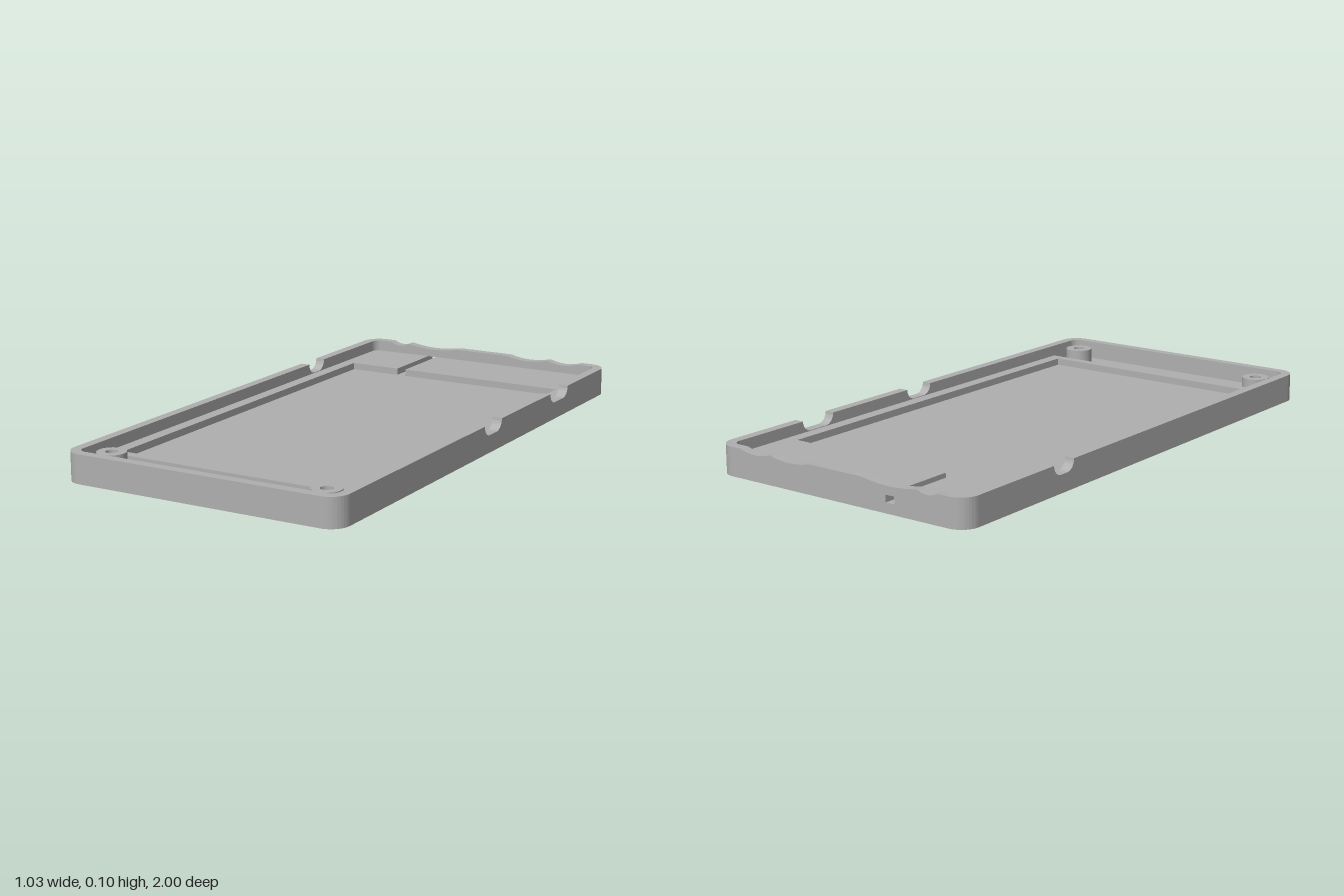
import * as THREE from 'three';
import { toCreasedNormals } from 'three/addons/utils/BufferGeometryUtils.js';

const W = 0.515, L = 1, H = 0.1;      // half width, half length, height
const T = 0.035, R = 0.065;           // wall thickness, corner radius
const FLOOR = 0.035, LEDGE = 0.06;    // floor and ledge heights
const POST_X = 0.405, POST_Z = 0.885;

const extrude = (shape, depth) => toCreasedNormals(
  new THREE.ExtrudeGeometry(shape, { depth, bevelEnabled: false, curveSegments: 16 }), 0.6);

// Plan shapes use (x, -z) and rise from y0 to y1
const rise = (shape, y0, y1) => extrude(shape, y1 - y0).rotateX(-Math.PI / 2).translate(0, y0, 0);

function roundedRect(w, l, r) {
  const s = new THREE.Shape();
  s.absarc(w - r, l - r, r, 0, Math.PI / 2);
  s.absarc(r - w, l - r, r, Math.PI / 2, Math.PI);
  s.absarc(r - w, r - l, r, Math.PI, Math.PI * 1.5);
  s.absarc(w - r, r - l, r, Math.PI * 1.5, Math.PI * 2);
  s.closePath();
  return s;
}

function circle(x, y, r, Type = THREE.Path) {
  const p = new Type();
  p.absarc(x, y, r, 0, Math.PI * 2);
  return p;
}

// Wall elevation: cuts run along the top edge from high u to low u
function elevation(half, cuts = []) {
  const s = new THREE.Shape();
  s.moveTo(-half, 0);
  s.lineTo(half, 0);
  s.lineTo(half, H);
  for (const [u1, u0, kind] of cuts) {
    s.lineTo(u1, H);
    if (kind === 'dip') {
      s.quadraticCurveTo((u0 + u1) / 2, H - 0.022, u0, H);
    } else {
      const r = 0.038;
      s.absarc(u1 - r, H, r, 0, -Math.PI / 2, true);
      s.absarc(u0 + r, H, r, -Math.PI / 2, -Math.PI, true);
    }
  }
  s.lineTo(-half, H);
  s.closePath();
  return s;
}

export function createModel() {
  const group = new THREE.Group();
  const grey = new THREE.MeshStandardMaterial({ color: 0xb0b0b0 });
  grey.name = 'grey plastic';
  const add = (name, geometry) => {
    const mesh = new THREE.Mesh(geometry, grey);
    mesh.name = name;
    group.add(mesh);
  };

  // Floor with two screw holes
  const floor = roundedRect(W - T, L - T, R - T);
  for (const s of [-1, 1]) floor.holes.push(circle(s * POST_X, -POST_Z, 0.021));
  add('floor', rise(floor, 0, FLOOR));

  // Ledge around the pocket, open at the back for the cable groove
  const ix = W - T, iz = L - T, px = 0.435, g0 = -0.24, g1 = -0.205;
  const ledge = new THREE.Shape([
    [g1, iz], [g1, 0.71], [px, 0.71], [px, -0.785], [-px, -0.785], [-px, 0.71],
    [g0, 0.71], [g0, iz], [-ix + 0.009, iz - 0.009], [-ix, iz - 0.03],
    [-ix, -0.82], [ix, -0.82], [ix, iz - 0.03], [ix - 0.009, iz - 0.009], [ix - 0.03, iz],
  ].map(([x, y]) => new THREE.Vector2(x, y)));
  add('ledge', rise(ledge, FLOOR, LEDGE));

  // Side walls with finger and port notches
  const sideWall = (cuts, x) => extrude(elevation(L - R, cuts), T).rotateY(-Math.PI / 2).translate(x, 0, 0);
  add('leftWall', sideWall([[0.043, -0.087], [-0.483, -0.634]], W));
  add('rightWall', sideWall([[-0.447, -0.555]], T - W));

  // End walls; the back one has shallow dips and a cable hole
  add('frontWall', extrude(elevation(W - R), T).translate(0, 0, L - T));
  const back = elevation(W - R, [
    [0.41, 0.28, 'dip'], [0.28, 0.11, 'dip'], [-0.11, -0.33, 'dip'], [-0.33, -0.41, 'dip'],
  ]);
  back.holes.push(new THREE.Path([[g0, FLOOR], [g0, LEDGE], [g1, LEDGE], [g1, FLOOR]]
    .map(([x, y]) => new THREE.Vector2(x, y))));
  add('backWall', extrude(back, T).translate(0, 0, -L));

  // Rounded corners of the wall
  [[1, 1], [-1, 1], [-1, -1], [1, -1]].forEach(([sx, sy], i) => {
    const a = i * Math.PI / 2, b = a + Math.PI / 2;
    const cx = sx * (W - R), cy = sy * (L - R);
    const corner = new THREE.Shape();
    corner.absarc(cx, cy, R, a, b);
    corner.absarc(cx, cy, R - T, b, a, true);
    corner.closePath();
    add('wallCorner', rise(corner, 0, H));
  });

  // Hollow screw posts
  for (const s of [-1, 1]) {
    const post = circle(s * POST_X, -POST_Z, 0.05, THREE.Shape);
    post.holes.push(circle(s * POST_X, -POST_Z, 0.021));
    add('screwPost', rise(post, FLOOR, 0.088));
  }
  return group;
}
